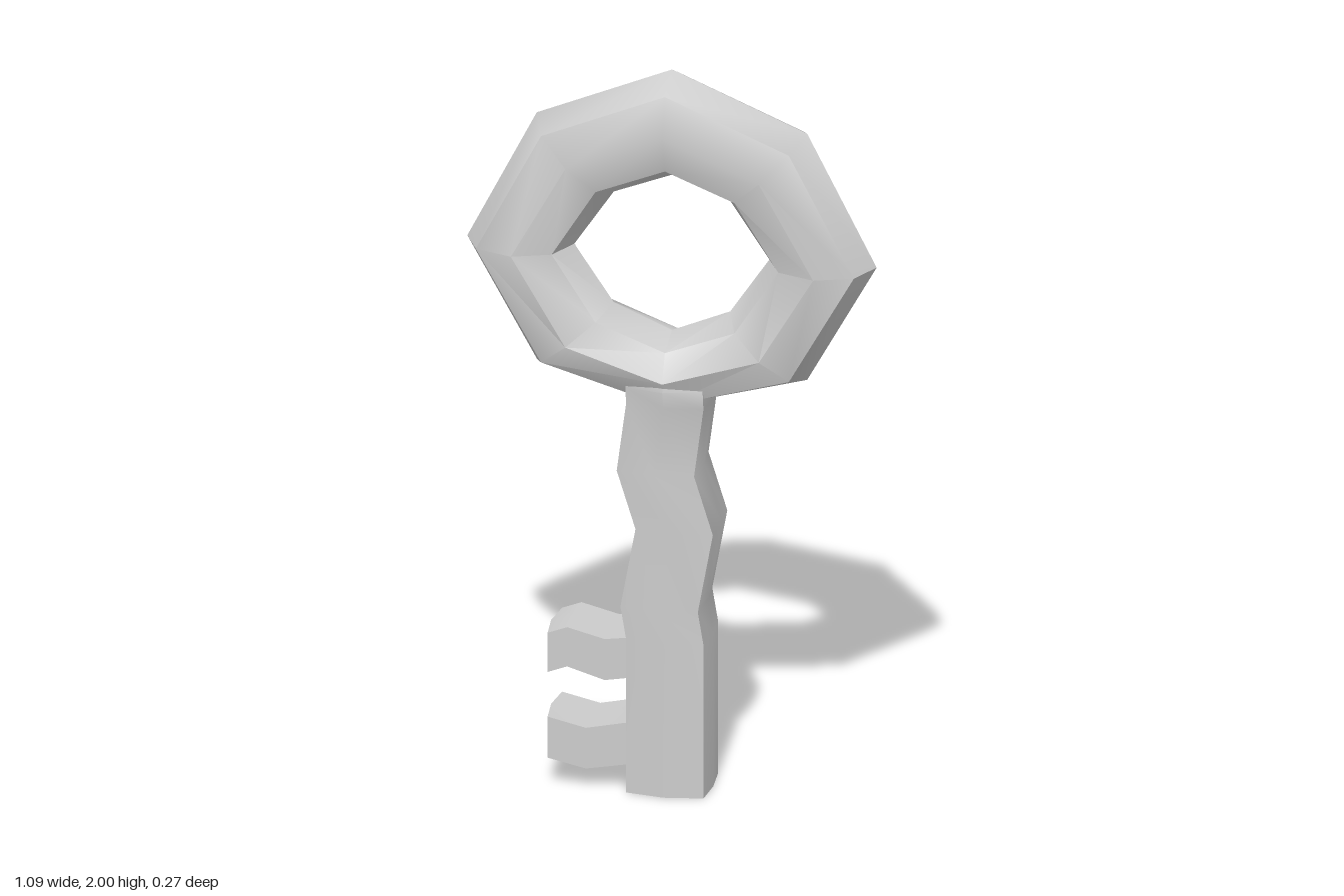
import * as THREE from 'three';
import { toCreasedNormals } from 'three/addons/utils/BufferGeometryUtils.js';

const material = new THREE.MeshStandardMaterial({ color: 0xcccccc });
const CREASE = 0.75;

// Skin a list of cross-section rings; either joined end to start or capped.
function loft(rings, joined) {
  const n = rings[0].length, m = rings.length, index = [];
  for (let i = 0; i < (joined ? m : m - 1); i++) {
    for (let j = 0; j < n; j++) {
      const a = i * n + j, b = i * n + (j + 1) % n;
      const c = ((i + 1) % m) * n + j, d = ((i + 1) % m) * n + (j + 1) % n;
      index.push(a, b, c, b, d, c);
    }
  }
  if (!joined) {
    const top = (m - 1) * n;
    for (let j = 1; j < n - 1; j++) index.push(0, j + 1, j, top, top + j, top + j + 1);
  }
  const g = new THREE.BufferGeometry();
  g.setAttribute('position', new THREE.Float32BufferAttribute(rings.flat(2), 3));
  g.setIndex(index);
  return toCreasedNormals(g, CREASE);
}

// Eight-sided ring handle with an octagonal section, slightly squashed at the bottom
function bowGeometry() {
  // outer x, y and inner x, y around the hole centre, from top to bottom
  const half = [
    [0, 0.51, 0, 0.215], [0.36, 0.36, 0.155, 0.155], [0.545, 0, 0.26, 0],
    [0.36, -0.33, 0.155, -0.155], [0, -0.43, 0, -0.22],
  ];
  const mirrored = half.slice(1, 4).reverse().map(([ox, oy, ix, iy]) => [-ox, oy, -ix, iy]);
  const rings = [...half, ...mirrored].map(([ox, oy, ix, iy]) =>
    Array.from({ length: 8 }, (_, j) => {
      const a = j * Math.PI / 4, t = (1 + Math.cos(a)) / 2;
      return [ix + (ox - ix) * t, 1.49 + iy + (oy - iy) * t, 0.125 * Math.sin(a)];
    }));
  return loft(rings, true);
}

// Wobbly shaft with softly ridged faces, swelling at the back where it meets the bow
function shaftGeometry() {
  // y, x offset, front ridge z, back ridge z, corner z
  const sections = [
    [0, 0, 0.106, -0.106, 0.09], [0.43, 0, 0.106, -0.106, 0.09],
    [0.52, -0.015, 0.106, -0.106, 0.09], [0.74, 0.025, 0.106, -0.106, 0.09],
    [0.9, -0.025, 0.106, -0.106, 0.09], [1.09, 0, 0.106, -0.106, 0.09],
    [1.14, 0, 0.122, -0.143, 0.1], [1.22, 0, 0.09, -0.09, 0.08],
  ];
  return loft(sections.map(([y, x, f, b, c]) => [
    [0.11, 0], [0.103, -c], [0, b], [-0.103, -c],
    [-0.11, 0], [-0.103, c], [0, f], [0.103, c],
  ].map(([px, pz]) => [x + px, y, pz])), false);
}

// Bent tooth, with a slight ridge down the middle of its tip
function toothGeometry(outline) {
  const shape = new THREE.Shape(outline.map(([x, y]) => new THREE.Vector2(x, y)));
  const g = new THREE.ExtrudeGeometry(shape, { depth: 0.18, steps: 2, bevelEnabled: false });
  g.translate(0, 0, -0.09);
  const p = g.attributes.position;
  for (let i = 0; i < p.count; i++) {
    if (p.getX(i) < -0.3 && Math.abs(p.getZ(i)) < 0.01) p.setX(i, p.getX(i) - 0.01);
  }
  g.deleteAttribute('normal');
  g.deleteAttribute('uv');
  return toCreasedNormals(g, CREASE);
}

export function createModel() {
  const key = new THREE.Group();
  key.name = 'key';
  const add = (name, geometry) => {
    const mesh = new THREE.Mesh(geometry, material);
    mesh.name = name;
    key.add(mesh);
  };
  add('bow', bowGeometry());
  add('shaft', shaftGeometry());
  add('upperTooth', toothGeometry([
    [-0.06, 0.435], [-0.06, 0.325], [-0.105, 0.32], [-0.16, 0.31], [-0.26, 0.34],
    [-0.312, 0.32], [-0.312, 0.43], [-0.26, 0.45], [-0.16, 0.425], [-0.105, 0.433],
  ]));
  add('lowerTooth', toothGeometry([
    [-0.06, 0.2], [-0.06, 0.085], [-0.105, 0.078], [-0.21, 0.058],
    [-0.312, 0.08], [-0.312, 0.195], [-0.21, 0.172], [-0.105, 0.195],
  ]));
  key.position.z = 0.008;
  const root = new THREE.Group();
  root.add(key);
  return root;
}
